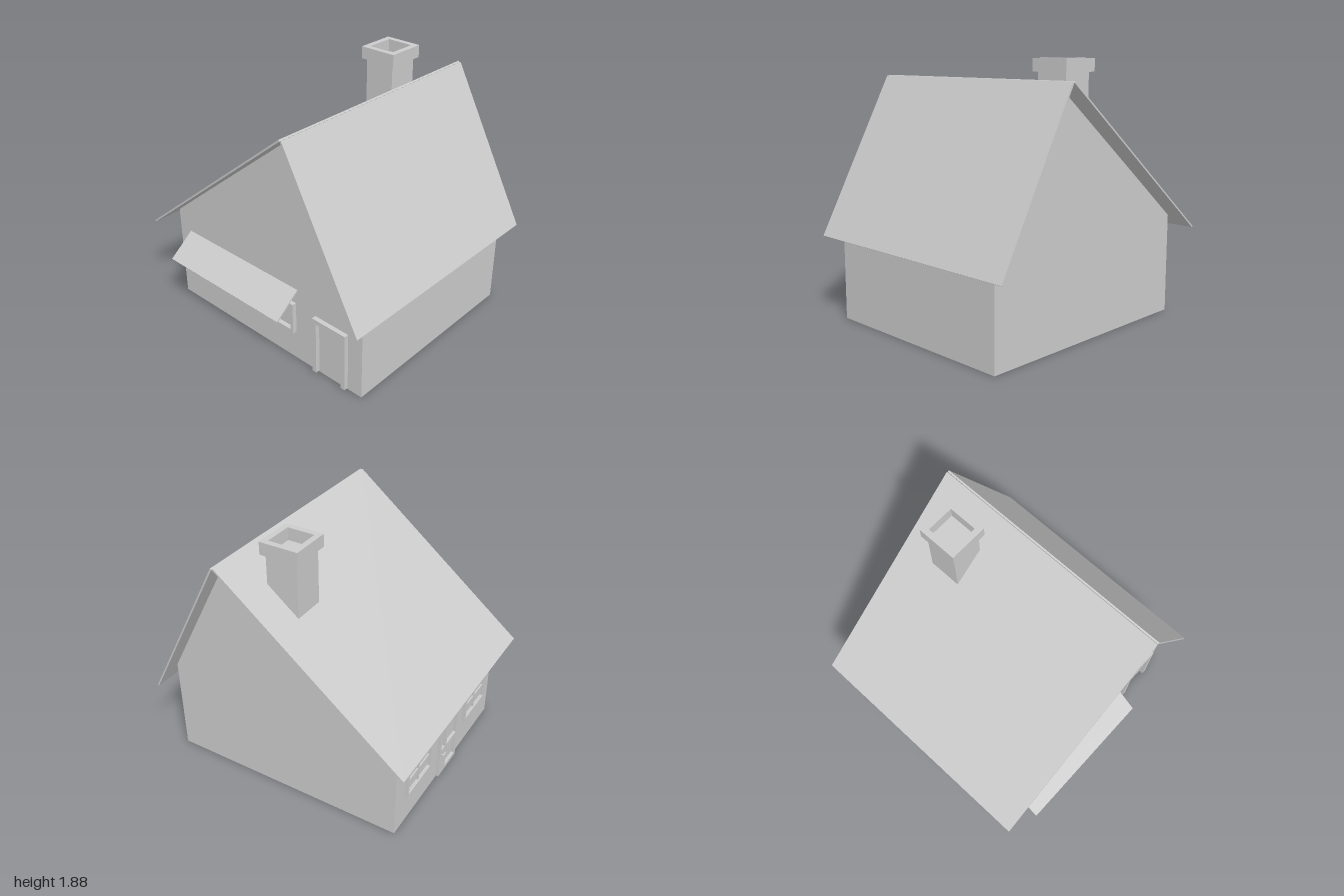
import * as THREE from 'three';

const material = new THREE.MeshStandardMaterial({ color: 0xcccccc, flatShading: true });

function add(parent, name, geometry, x = 0, y = 0, z = 0) {
  const mesh = new THREE.Mesh(geometry, material);
  mesh.name = name;
  mesh.position.set(x, y, z);
  parent.add(mesh);
  return mesh;
}

// Flat panel w by h from its lower left corner, with holes [x0, y0, x1, y1]
function panel(w, h, depth, holes) {
  const rect = (C, x0, y0, x1, y1) =>
    new C([[x0, y0], [x1, y0], [x1, y1], [x0, y1]].map(([x, y]) => new THREE.Vector2(x, y)));
  const shape = rect(THREE.Shape, 0, 0, w, h);
  holes.forEach((o) => shape.holes.push(rect(THREE.Path, ...o)));
  return new THREE.ExtrudeGeometry(shape, { depth, bevelEnabled: false });
}

// Panes between vertical bar centres and horizontal bar centres
function panes(xs, ys, bar) {
  const holes = [];
  for (let i = 0; i < xs.length - 1; i++)
    for (let j = 0; j < ys.length - 1; j++)
      holes.push([xs[i] + bar / 2, ys[j] + bar / 2, xs[i + 1] - bar / 2, ys[j + 1] - bar / 2]);
  return holes;
}

// Roof slab between two [z, y] points
function roofSlab(parent, name, [z0, y0], [z1, y1]) {
  const length = Math.hypot(z1 - z0, y1 - y0);
  const slab = add(parent, name, new THREE.BoxGeometry(1.825, 0.012, length),
    0.0275, (y0 + y1) / 2, (z0 + z1) / 2);
  slab.rotation.x = Math.atan2(y0 - y1, z1 - z0);
}

export function createModel() {
  const house = new THREE.Group();
  house.name = 'house';

  // Body with uneven gable, extruded along x
  const gable = new THREE.Shape([
    [-0.92, 0], [0.88, 0], [0.88, 0.73], [-0.38, 1.733], [-0.92, 0.735],
  ].map(([x, y]) => new THREE.Vector2(x, y)));
  const body = add(house, 'walls',
    new THREE.ExtrudeGeometry(gable, { depth: 1.54, bevelEnabled: false }), -0.74, 0, 0);
  body.rotation.y = Math.PI / 2;

  // Roof
  roofSlab(house, 'frontRoof', [0.385, 1.74], [0.994, 0.603]);
  roofSlab(house, 'backRoof', [0.375, 1.742], [-0.995, 0.643]);

  // Chimney with an open cap
  const chimney = new THREE.Group();
  chimney.name = 'chimney';
  chimney.position.set(0.56, 0, 0.04);
  house.add(chimney);
  add(chimney, 'chimneyShaft', new THREE.BoxGeometry(0.24, 0.49, 0.232), 0, 1.545, 0);
  const cap = add(chimney, 'chimneyCap',
    panel(0.295, 0.285, 0.09, [[0.042, 0.042, 0.253, 0.243]]), -0.1475, 1.79, 0.1425);
  cap.rotation.x = -Math.PI / 2;

  // Back wall: local x runs toward the model's right, local z points outward
  const back = new THREE.Group();
  back.name = 'backWallFittings';
  back.position.z = -0.88;
  back.rotation.y = Math.PI;
  house.add(back);
  for (const x of [-0.67, 0.25]) {
    const frame = panel(0.36, 0.235, 0.016, [[0.02, 0.02, 0.34, 0.215]]);
    add(back, 'windowFrame', frame, x, 0.23, 0.008);
    add(back, 'windowBars',
      panel(0.36, 0.235, 0.012, panes([0.014, 0.18, 0.346], [0.014, 0.1175, 0.221], 0.016)),
      x, 0.23, 0);
  }
  add(back, 'backDoor', panel(0.285, 0.44, 0.022, [
    [0.022, 0.235, 0.078, 0.42], [0.105, 0.235, 0.262, 0.42], [0.105, 0.03, 0.262, 0.2],
  ]), -0.165, 0.01, 0);
  const stem = add(back, 'doorHandleStem', new THREE.CylinderGeometry(0.005, 0.005, 0.02, 8), -0.135, 0.2, 0.03);
  stem.rotation.x = Math.PI / 2;
  add(back, 'doorHandle', new THREE.BoxGeometry(0.04, 0.012, 0.01), -0.125, 0.2, 0.038);

  // Right wall: local x runs toward the front, local z points outward
  const side = new THREE.Group();
  side.name = 'sideWallFittings';
  side.position.x = -0.74;
  side.rotation.y = -Math.PI / 2;
  house.add(side);
  add(side, 'sideWindowFrame',
    panel(1.09, 0.24, 0.033, panes([0.012, 0.21, 0.88, 1.078], [0.012, 0.228], 0.026)),
    -0.76, 0.23, 0);
  for (const x of [0.527, 0.783])
    add(side, 'doorPost', new THREE.BoxGeometry(0.034, 0.445, 0.033), x, 0.2325, 0.0165);
  add(side, 'doorLintel', new THREE.BoxGeometry(0.222, 0.034, 0.033), 0.655, 0.438, 0.0165);

  // Sloping awning over the side window
  const awning = add(house, 'awning',
    new THREE.BoxGeometry(Math.hypot(0.195, 0.155), 0.01, 1.11), -0.838, 0.508, -0.205);
  awning.rotation.z = Math.atan2(0.155, 0.195);

  return house;
}
